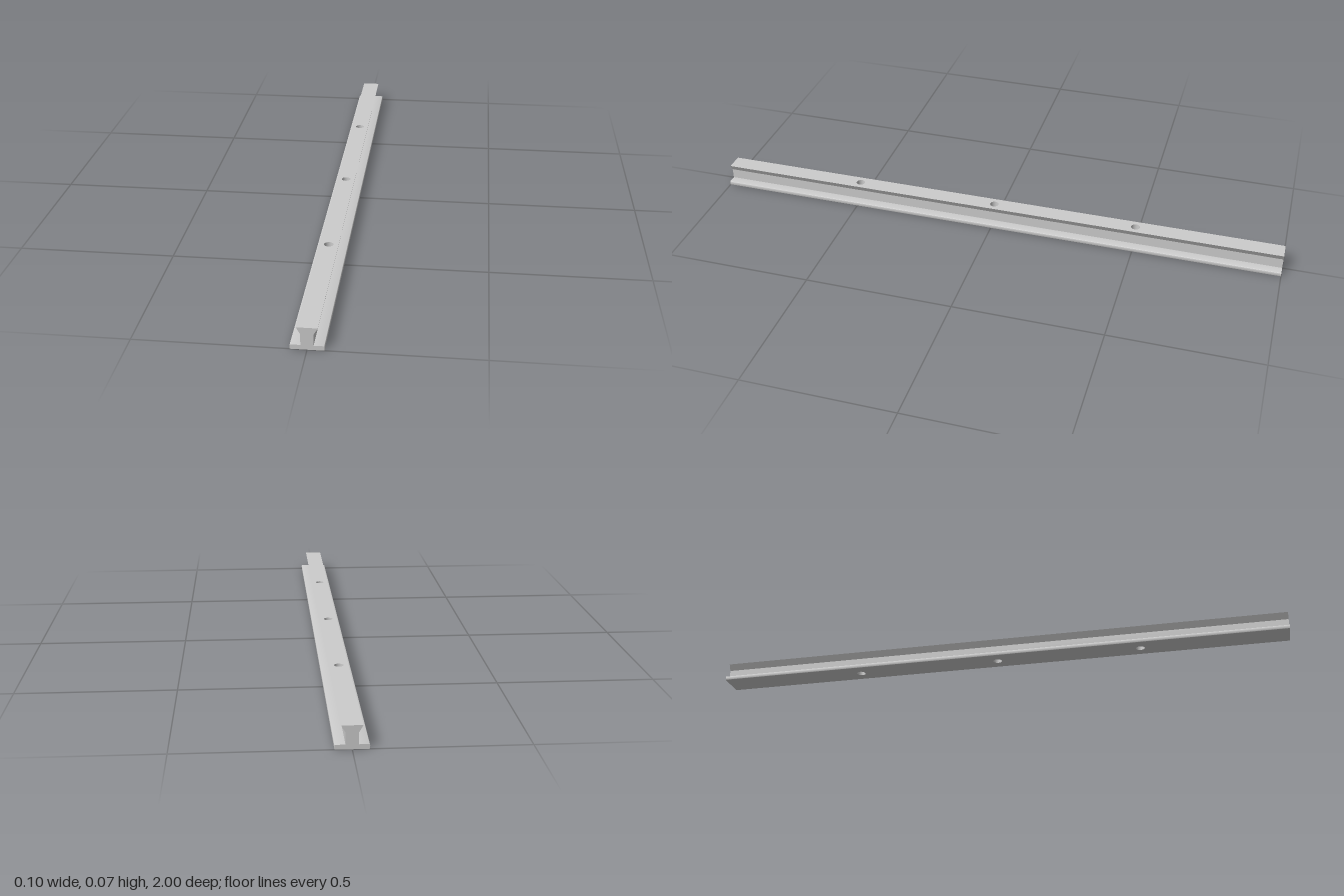
import * as THREE from 'three';
import { toCreasedNormals } from 'three/addons/utils/BufferGeometryUtils.js';

const HALF = 1, HEIGHT = 0.07, FLANGE = 0.049, FLANGE_H = 0.0142, HEAD = 0.0305, WEB = 0.0185, ROUND = 0.003;
const HOLE_R = 0.015, HOLE_Z = [-0.5, 0, 0.5];

// Half of the cross-section, from the underside up to the head
function halfProfile() {
  const p = new THREE.Path();
  p.moveTo(FLANGE - ROUND, 0);
  p.quadraticCurveTo(FLANGE, 0, FLANGE, ROUND);
  p.lineTo(FLANGE, FLANGE_H - ROUND);
  p.quadraticCurveTo(FLANGE, FLANGE_H, FLANGE - ROUND, FLANGE_H);
  p.lineTo(WEB, FLANGE_H);
  p.lineTo(WEB, 0.049);
  p.lineTo(HEAD, HEIGHT);
  return p.getPoints(5);
}

// Sweep an open line of points along the length
function sweep(points) {
  const pos = [];
  for (let i = 0; i < points.length - 1; i++) {
    const p = points[i], q = points[i + 1];
    const a = [p.x, p.y, HALF], b = [p.x, p.y, -HALF], c = [q.x, q.y, -HALF], d = [q.x, q.y, HALF];
    pos.push(...a, ...b, ...c, ...a, ...c, ...d);
  }
  const g = new THREE.BufferGeometry();
  g.setAttribute('position', new THREE.Float32BufferAttribute(pos, 3));
  g.computeVertexNormals();
  return toCreasedNormals(g, 0.5);
}

// Long flat strip pierced by the bolt holes
function piercedStrip(w) {
  const s = new THREE.Shape([[-w, -HALF], [w, -HALF], [w, HALF], [-w, HALF]].map(([x, y]) => new THREE.Vector2(x, y)));
  for (const z of HOLE_Z) s.holes.push(new THREE.Path().absarc(0, z, HOLE_R, 0, Math.PI * 2, true));
  return new THREE.ShapeGeometry(s, 16);
}

export function createModel() {
  const group = new THREE.Group();
  group.name = 'rail';
  const mat = new THREE.MeshStandardMaterial({ color: 0xcccccc });
  const inner = new THREE.MeshStandardMaterial({ color: 0xcccccc, side: THREE.BackSide });
  const add = (name, geometry, material = mat) => {
    const m = new THREE.Mesh(geometry, material);
    m.name = name;
    group.add(m);
    return m;
  };

  // Flange, web and head sides
  const left = halfProfile();
  const right = left.map(p => new THREE.Vector2(-p.x, p.y)).reverse();
  add('leftSide', sweep(left));
  add('rightSide', sweep(right));

  // Running surface and underside
  add('headTop', piercedStrip(HEAD).rotateX(-Math.PI / 2).translate(0, HEIGHT, 0));
  add('underside', piercedStrip(FLANGE - ROUND).rotateX(Math.PI / 2));

  // End faces
  const section = new THREE.Shape([...left, ...right]);
  add('frontEnd', new THREE.ShapeGeometry(section).translate(0, 0, HALF));
  add('backEnd', new THREE.ShapeGeometry(section).rotateY(Math.PI).translate(0, 0, -HALF));

  // Bolt hole walls
  for (const z of HOLE_Z) {
    add('boltHole', new THREE.CylinderGeometry(HOLE_R, HOLE_R, HEIGHT, 32, 1, true).translate(0, HEIGHT / 2, z), inner);
  }
  return group;
}
